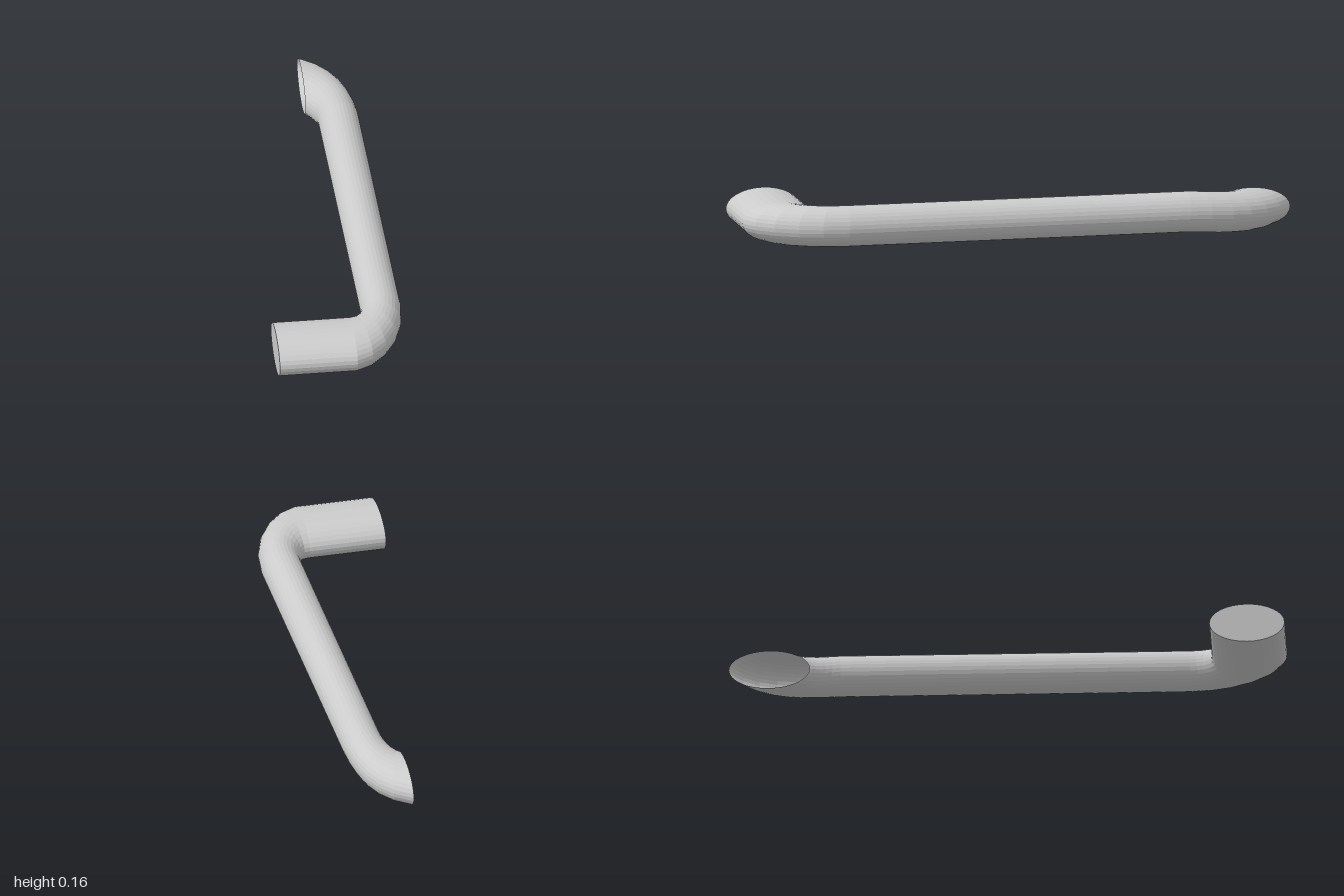
import * as THREE from 'three';

const SIDES = 32;
const HALF_HEIGHT = 0.0735;

// Each section: inner x, z, outer x, z (seen from above), centre height
const SECTIONS = [
  // wide oval arm
  [-0.24, 0.73, -0.24, 1.0, 0.0915],
  [0.04, 0.73, 0.04, 1.0, 0.0915],
  // front bend
  [0.06, 0.727, 0.1, 0.968, 0.0915],
  [0.073, 0.715, 0.155, 0.91, 0.0915],
  [0.084, 0.695, 0.2, 0.83, 0.0915],
  [0.09, 0.672, 0.227, 0.745, 0.0915],
  [0.092, 0.65, 0.238, 0.65, 0.0915],
  // straight bar
  [0.092, -0.6, 0.238, -0.6, 0.0915],
  // rear bend, sinking slightly
  [0.089, -0.63, 0.233, -0.68, 0.088],
  [0.083, -0.653, 0.221, -0.76, 0.083],
  [0.075, -0.675, 0.202, -0.83, 0.079],
  [0.068, -0.692, 0.172, -0.895, 0.0765],
  [0.063, -0.702, 0.128, -0.952, 0.0755],
  [0.06, -0.71, 0.065, -1.0, 0.0755],
];

// Ring of points on an upright ellipse spanning inner to outer
function ring([ix, iz, ox, oz, y]) {
  return Array.from({ length: SIDES }, (_, j) => {
    const a = (j / SIDES) * Math.PI * 2;
    const c = Math.cos(a) / 2;
    return [
      (ix + ox) / 2 + (ox - ix) * c,
      y + HALF_HEIGHT * Math.sin(a),
      (iz + oz) / 2 + (oz - iz) * c,
    ];
  });
}

function geometryFrom(points, index) {
  const geometry = new THREE.BufferGeometry();
  geometry.setAttribute('position', new THREE.Float32BufferAttribute(points.flat(), 3));
  geometry.setIndex(index);
  geometry.computeVertexNormals();
  return geometry;
}

export function createModel() {
  const group = new THREE.Group();
  group.name = 'handle';
  const material = new THREE.MeshStandardMaterial({
    color: 0xcccccc,
    flatShading: true,
    side: THREE.DoubleSide,
  });
  const add = (name, geometry) => {
    const mesh = new THREE.Mesh(geometry, material);
    mesh.name = name;
    group.add(mesh);
  };

  // Bent tube, open at the rear end
  const rings = SECTIONS.map(ring);
  const tube = [];
  for (let i = 0; i < rings.length - 1; i++) {
    for (let j = 0; j < SIDES; j++) {
      const k = (j + 1) % SIDES;
      const a = i * SIDES + j;
      const b = i * SIDES + k;
      tube.push(a, a + SIDES, b, b, a + SIDES, b + SIDES);
    }
  }
  add('bentTube', geometryFrom(rings.flat(), tube));

  // Flat oval cap closing the arm
  const cap = [];
  for (let j = 1; j < SIDES - 1; j++) cap.push(0, j, j + 1);
  add('armEndCap', geometryFrom(rings[0], cap));

  return group;
}
